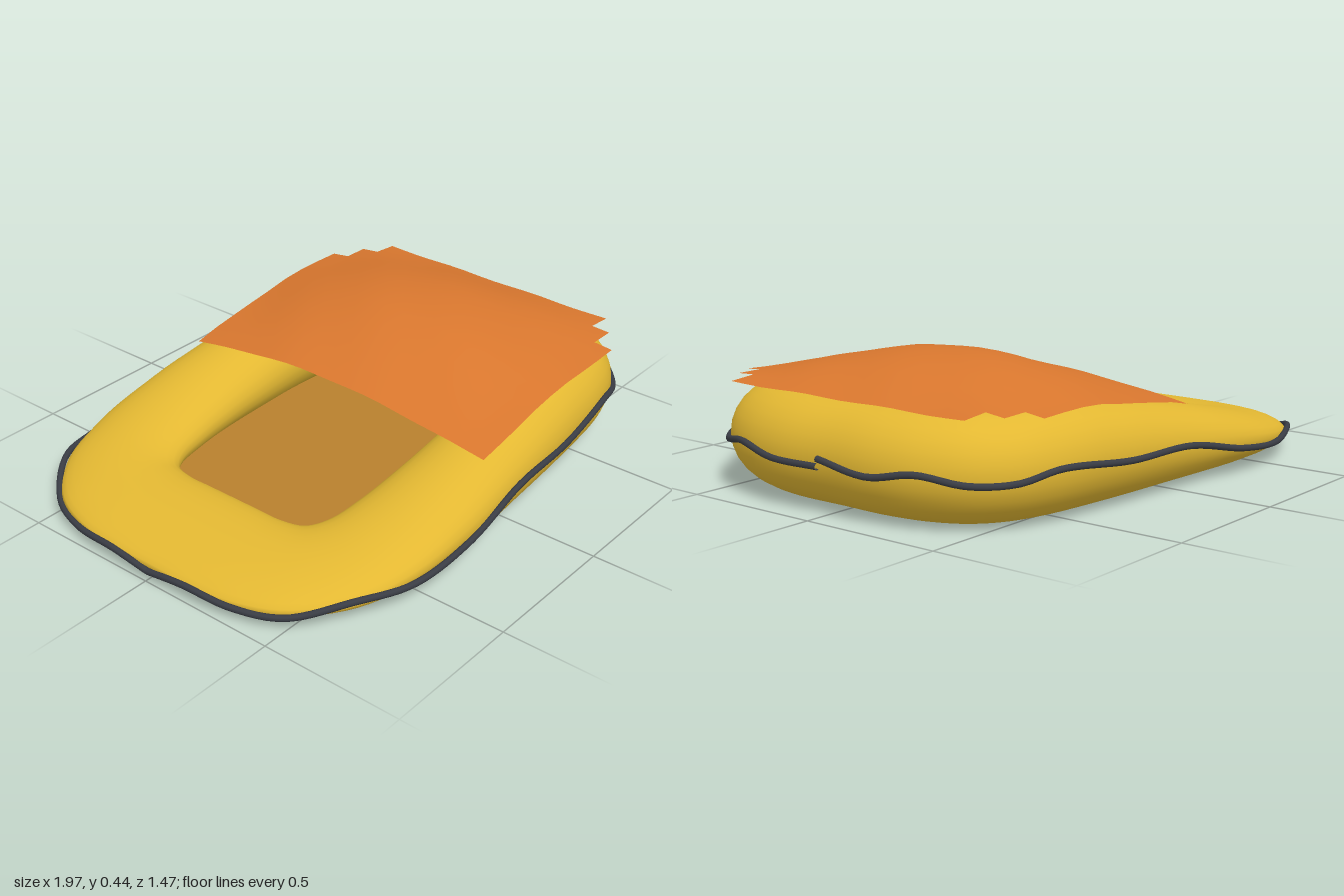
import * as THREE from 'three';

const V = (x, y, z) => new THREE.Vector3(x, y, z);
const mat = (name, color, side = THREE.FrontSide) => {
  const m = new THREE.MeshStandardMaterial({ color, side });
  m.name = name;
  return m;
};

// piecewise-linear lookup in [x, value] pairs
function lookup(table, x) {
  if (x <= table[0][0]) return table[0][1];
  for (let i = 1; i < table.length; i++) {
    const [x0, v0] = table[i - 1], [x1, v1] = table[i];
    if (x <= x1) return v0 + (v1 - v0) * (x - x0) / (x1 - x0);
  }
  return table[table.length - 1][1];
}

// half outlines [x, z], stern to bow
const OUTER = [[.95, 0], [.95, .2], [.92, .36], [.85, .5], [.74, .595], [.6, .645], [.3, .685], [0, .705],
  [-.3, .72], [-.55, .7], [-.75, .63], [-.9, .49], [-.965, .33], [-.985, .15], [-.985, 0]];
const INNER = [[.6, 0], [.6, .13], [.59, .2], [.56, .26], [.5, .3], [.42, .32], [.2, .345], [0, .35],
  [-.2, .35], [-.38, .34], [-.5, .32], [-.56, .28], [-.58, .2], [-.58, .1], [-.58, 0]];
// rope height at each outline point
const ROPE_Y = [.165, .165, .19, .165, .165, .19, .165, .16, .1, .075, .09, .05, .05, .06, .04];
// height of the tube along the raft
const HEIGHT = [[-1, .09], [-.78, .12], [-.6, .15], [-.2, .24], [0, .28], [.2, .315], [.4, .338], [.6, .342]];

const closedLoop = (half) => {
  const back = half.slice(1, -1).reverse().map(([x, z]) => [x, -z]);
  return new THREE.CatmullRomCurve3([...half, ...back].map(([x, z]) => V(x, 0, z)), true);
};
const outerCurve = closedLoop(OUTER), innerCurve = closedLoop(INNER);

// inflated ring: elliptical sections between the two outlines, tapering to the bow
function ringGeometry(n = 144, m = 28) {
  const pos = [], idx = [];
  for (let i = 0; i < n; i++) {
    const o = outerCurve.getPoint(i / n), p = innerCurve.getPoint(i / n);
    for (let j = 0; j < m; j++) {
      const a = j / m * Math.PI * 2;
      const q = p.clone().lerp(o, .5 + .5 * Math.cos(a));
      pos.push(q.x, .008 + lookup(HEIGHT, q.x) * (.5 + .5 * Math.sin(a)), q.z);
      const i2 = (i + 1) % n, j2 = (j + 1) % m;
      idx.push(i * m + j, i * m + j2, i2 * m + j, i * m + j2, i2 * m + j2, i2 * m + j);
    }
  }
  const g = new THREE.BufferGeometry();
  g.setAttribute('position', new THREE.Float32BufferAttribute(pos, 3));
  g.setIndex(idx);
  g.computeVertexNormals();
  return g;
}

// flat floor reaching into the ring
function floorGeometry(n = 96) {
  const pts = [];
  for (let i = 0; i < n; i++) {
    const q = innerCurve.getPoint(i / n).lerp(outerCurve.getPoint(i / n), .3);
    pts.push(new THREE.Vector2(q.x, -q.z));
  }
  return new THREE.ShapeGeometry(new THREE.Shape(pts)).rotateX(-Math.PI / 2).translate(0, .032, 0);
}

// draped canopy on a grid, with stepped stern corners
function canopyGeometry() {
  const nx = 10, nz = 18, pos = [], idx = [];
  const rise = [[-.1, .065], [.05, .08], [.3, .118], [.5, .1], [.65, .07], [.85, .004]];
  for (let i = 0; i <= nx; i++) {
    for (let k = 0; k <= nz; k++) {
      const x = -.1 + .095 * i, z = -.63 + .07 * k;
      const t = Math.min(1, Math.abs(z + .04 * (1 - (z / .63) ** 2)) / .63);
      const ripple = .004 * Math.sin(x * 13 + z * 7) * Math.cos(z * 11);
      const y = lookup(HEIGHT, x) + .008 + lookup(rise, x) * Math.pow(1 - t * t, 1.25) + ripple;
      pos.push(x, y, z);
      const c = Math.min(k, nz - 1 - k); // cells from the nearest side edge
      const cut = (i >= 8 && c < 1) || (i >= 9 && c < 2);
      if (i < nx && k < nz && !cut) {
        const a = i * (nz + 1) + k, b = a + nz + 1;
        idx.push(a, a + 1, b, a + 1, b + 1, b);
      }
    }
  }
  const g = new THREE.BufferGeometry();
  g.setAttribute('position', new THREE.Float32BufferAttribute(pos, 3));
  g.setIndex(idx);
  g.computeVertexNormals();
  return g;
}

// grab line along one side; the two ends meet with a step at the stern
function ropeGeometry(side) {
  const pts = OUTER.map(([x, z], i) =>
    V(x * 1.005, i === 0 && side < 0 ? .19 : ROPE_Y[i], side * z * 1.008));
  return new THREE.TubeGeometry(new THREE.CatmullRomCurve3(pts), 90, .011, 8, false);
}

export function createModel() {
  const raft = new THREE.Group();
  raft.name = 'raft';
  const add = (name, geo, material) => {
    const mesh = new THREE.Mesh(geo, material);
    mesh.name = name;
    raft.add(mesh);
  };
  const ropeMat = mat('dark rope', 0x3a3d45, THREE.DoubleSide);
  add('inflatedRing', ringGeometry(), mat('yellow rubber', 0xe3b832));
  add('floor', floorGeometry(), mat('brown floor', 0xb8802d, THREE.DoubleSide));
  add('canopy', canopyGeometry(), mat('orange canopy', 0xd9772e, THREE.DoubleSide));
  add('leftRope', ropeGeometry(1), ropeMat);
  add('rightRope', ropeGeometry(-1), ropeMat);
  return raft;
}
